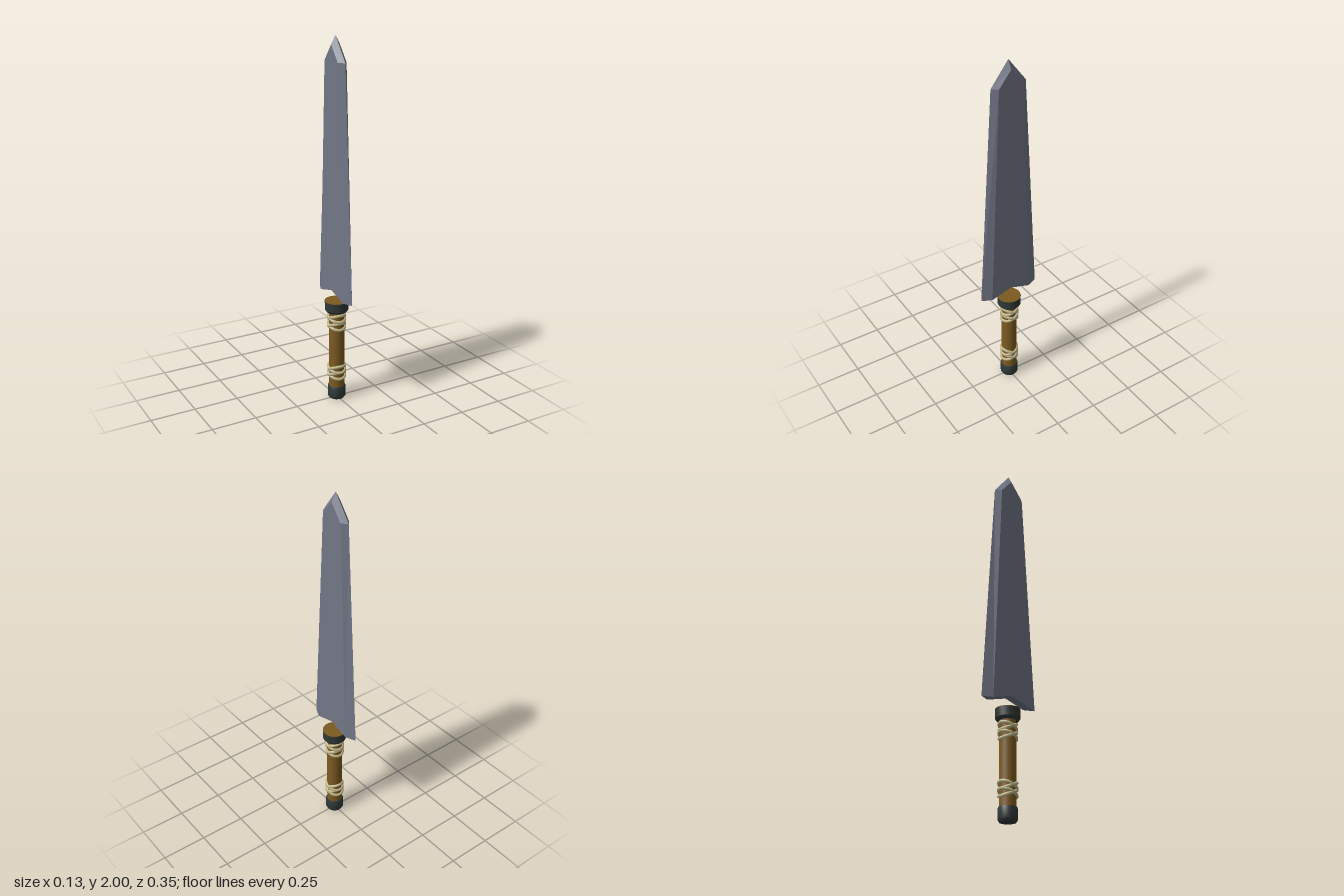
import * as THREE from 'three';
import { toCreasedNormals } from 'three/addons/utils/BufferGeometryUtils.js';

const mat = (name, color, extra = {}) => new THREE.MeshStandardMaterial({ name, color, ...extra });

function addMesh(group, name, geometry, material) {
  const mesh = new THREE.Mesh(geometry, material);
  mesh.name = name;
  group.add(mesh);
  return mesh;
}

// Turned part from [radius, y] pairs, with crisp rims
function turned(points) {
  const lathe = new THREE.LatheGeometry(points.map(([r, y]) => new THREE.Vector2(r, y)), 32);
  return toCreasedNormals(lathe, 0.6);
}

// Blade: a sharp mid-plane outline bevelled up to a flat on each side
function bladeGeometry() {
  const cx = -0.007, half = 0.025;
  // [outline z, outline y, flat z, flat y]
  const ring = [
    [0.177, 0.61, 0.12, 0.61], [0.1, 1.87, 0.068, 1.87], [0, 2, 0, 1.955],
    [-0.1, 1.87, -0.068, 1.87], [-0.177, 0.61, -0.12, 0.61],
    [-0.12, 0.61, -0.12, 0.61], [0, 0.645, 0, 0.645], [0.12, 0.61, 0.12, 0.61],
  ];
  const pos = [];
  for (const side of [1, -1]) {
    const edge = ring.map(([z, y]) => [cx, y, z]);
    const flat = ring.map(([, , z, y]) => [cx + side * half, y, z]);
    const tri = (a, b, c) => pos.push(...a, ...(side > 0 ? c : b), ...(side > 0 ? b : c));
    ring.forEach((_, i) => {
      const j = (i + 1) % ring.length;
      tri(edge[i], edge[j], flat[j]);
      const moved = flat[i][1] !== flat[j][1] || flat[i][2] !== flat[j][2];
      if (moved) tri(edge[i], flat[j], flat[i]);
    });
    // broad flat, fanned out from the notch
    for (let i = 0; i < 4; i++) tri(flat[6], flat[i], flat[i + 1]);
  }
  const geo = new THREE.BufferGeometry();
  geo.setAttribute('position', new THREE.Float32BufferAttribute(pos, 3));
  geo.computeVertexNormals();
  return geo;
}

// One cord loop around the grip, tilted forward or back
function cordGeometry(y, rise) {
  const pts = [];
  for (let i = 0; i < 16; i++) {
    const a = (i / 16) * Math.PI * 2;
    pts.push(new THREE.Vector3(Math.cos(a) * 0.044, y + rise * Math.sin(a), Math.sin(a) * 0.044));
  }
  return new THREE.TubeGeometry(new THREE.CatmullRomCurve3(pts, true), 40, 0.009, 8, true);
}

export function createModel() {
  const model = new THREE.Group();
  model.name = 'sword';
  const steel = mat('steel', 0x737787, { flatShading: true });
  const wood = mat('wood', 0x7d5b20);
  const iron = mat('dark iron', 0x2f3836);
  const cord = mat('cord', 0xbfb588);

  addMesh(model, 'blade', bladeGeometry(), steel);

  const handle = new THREE.Group();
  handle.name = 'handle';
  model.add(handle);

  addMesh(handle, 'grip', new THREE.CylinderGeometry(0.043, 0.043, 0.47, 32), wood).position.y = 0.305;
  addMesh(handle, 'pommel', turned([
    [0, 0], [0.042, 0], [0.05, 0.012], [0.05, 0.066], [0.046, 0.075], [0, 0.075],
  ]), iron);
  addMesh(handle, 'collar', turned([
    [0, 0.518], [0.056, 0.518], [0.065, 0.53], [0.065, 0.578], [0, 0.578],
  ]), iron);
  addMesh(handle, 'collarTop', new THREE.CylinderGeometry(0.065, 0.065, 0.003, 32), wood).position.y = 0.5795;

  // Two crossed cord bindings at each end of the grip
  const wraps = new THREE.Group();
  wraps.name = 'cordWraps';
  handle.add(wraps);
  for (const y of [0.143, 0.18, 0.438, 0.484]) {
    for (const rise of [0.019, -0.019]) addMesh(wraps, 'cordLoop', cordGeometry(y, rise), cord);
  }
  return model;
}
